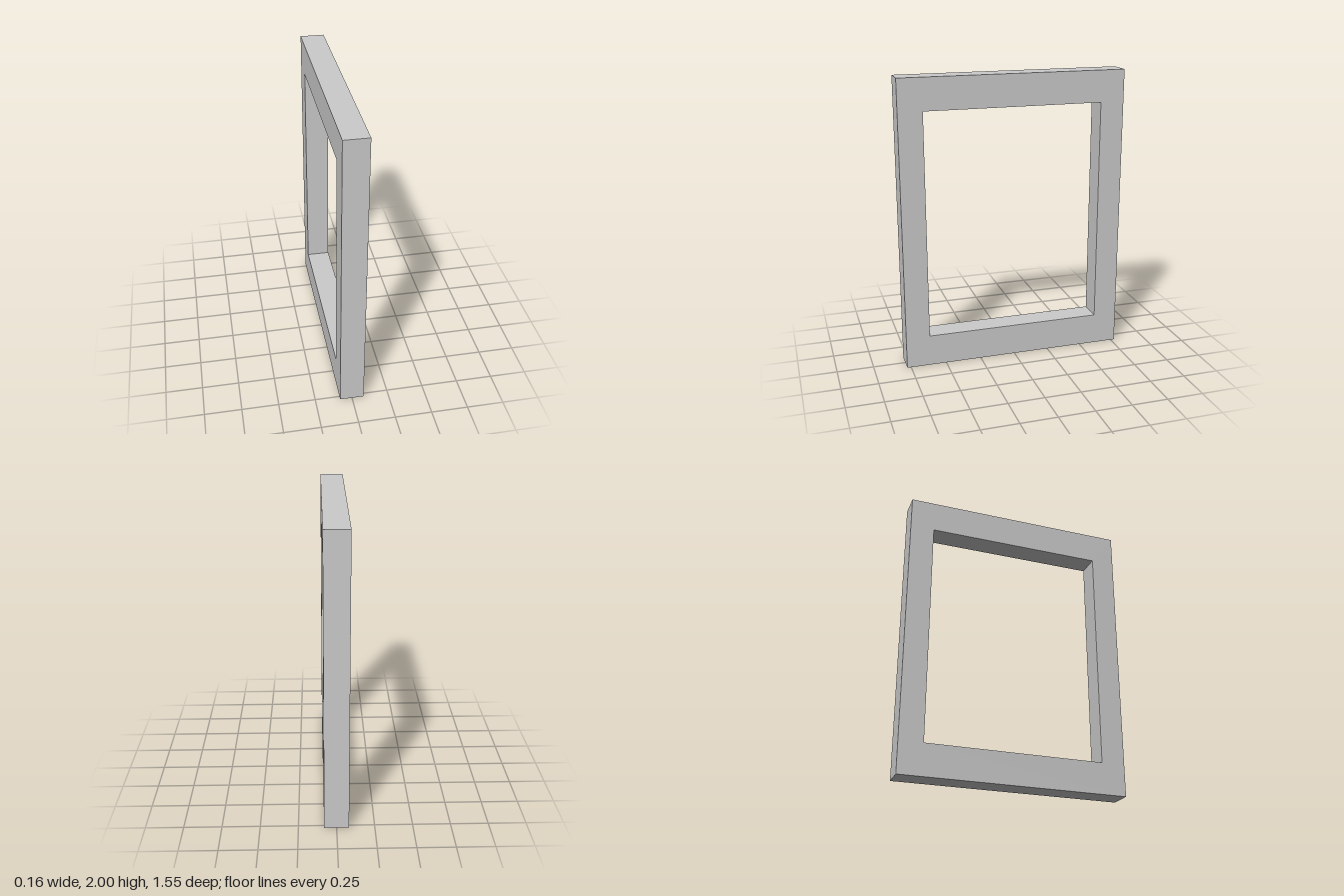
import * as THREE from 'three';

const HEIGHT = 2, WIDTH = 1.554, DEPTH = 0.163;
const STILE = 0.165, RAIL = 0.218; // side and top/bottom border widths

// Closed rectangle outline centred on the origin
function rectangle(PathType, w, h) {
  return new PathType([
    new THREE.Vector2(-w / 2, -h / 2),
    new THREE.Vector2(w / 2, -h / 2),
    new THREE.Vector2(w / 2, h / 2),
    new THREE.Vector2(-w / 2, h / 2),
  ]);
}

export function createModel() {
  const model = new THREE.Group();
  model.name = 'rectangularFrame';

  // Frame: a rectangle with a rectangular opening, extruded to its thickness
  const outline = rectangle(THREE.Shape, WIDTH, HEIGHT);
  outline.holes.push(rectangle(THREE.Path, WIDTH - 2 * STILE, HEIGHT - 2 * RAIL));
  const geometry = new THREE.ExtrudeGeometry(outline, { depth: DEPTH, bevelEnabled: false });

  // Turn the opening to face along x and stand the frame on the floor
  geometry.translate(0, 0, -DEPTH / 2).rotateY(Math.PI / 2).translate(0, HEIGHT / 2, 0);

  const frame = new THREE.Mesh(geometry, new THREE.MeshStandardMaterial({ color: 0xcccccc }));
  frame.name = 'frame';
  model.add(frame);
  return model;
}
